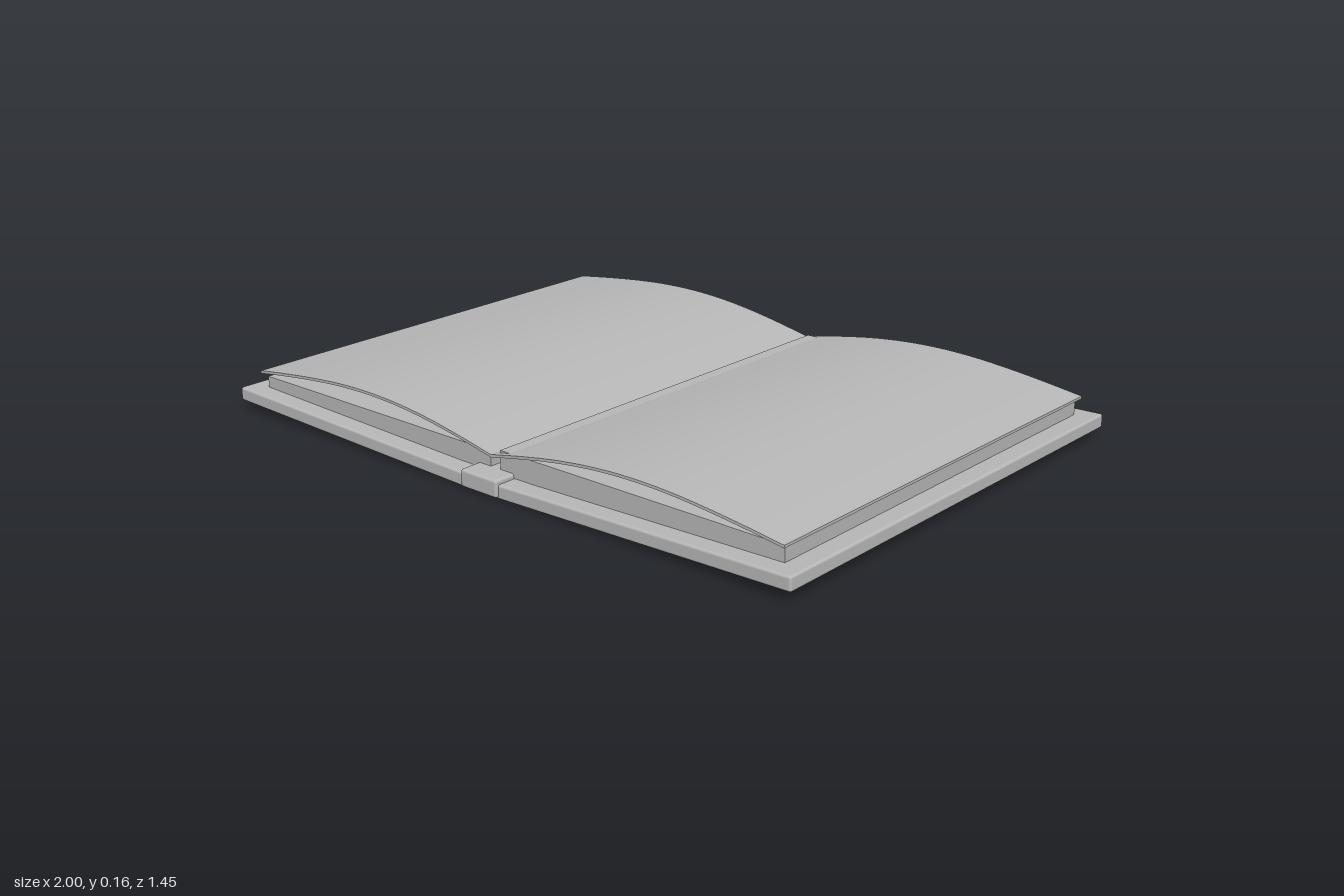
import * as THREE from 'three';
import { toCreasedNormals } from 'three/addons/utils/BufferGeometryUtils.js';
import { RoundedBoxGeometry } from 'three/addons/geometries/RoundedBoxGeometry.js';

const paper = new THREE.MeshStandardMaterial({ color: 0xb8b8b8 });
paper.name = 'plain grey';

function add(parent, name, geometry, x = 0, y = 0) {
  const mesh = new THREE.Mesh(geometry, paper);
  mesh.name = name;
  mesh.position.set(x, y, 0);
  parent.add(mesh);
  return mesh;
}

// Thin arched page: an outline in x and y, extruded along z
function sheetGeometry(side) {
  const curve = new THREE.SplineCurve([
    [0, 0.1], [0.12, 0.124], [0.24, 0.144], [0.36, 0.157], [0.48, 0.162],
    [0.6, 0.159], [0.72, 0.149], [0.84, 0.135], [0.95, 0.12],
  ].map(([x, y]) => new THREE.Vector2(x * side, y)));
  const top = curve.getPoints(32);
  const bottom = top.map((p) => new THREE.Vector2(p.x, p.y - 0.008)).reverse();
  const geometry = new THREE.ExtrudeGeometry(new THREE.Shape([...top, ...bottom]), {
    depth: 1.354, bevelEnabled: false,
  });
  geometry.translate(0, 0, -0.677);
  return toCreasedNormals(geometry, 0.5);
}

export function createModel() {
  const book = new THREE.Group();
  book.name = 'openBook';

  // Spine between the two covers
  add(book, 'spine', new RoundedBoxGeometry(0.132, 0.05, 1.45, 3, 0.008), 0, 0.033);

  for (const side of [-1, 1]) {
    const label = side > 0 ? 'left' : 'right';

    // Cover board, rising slightly towards its outer edge
    const cover = add(book, label + 'Cover',
      new RoundedBoxGeometry(1, 0.04, 1.432, 3, 0.007), side * 0.5, 0.036);
    cover.rotation.z = side * 0.027;

    // Page block; one half is a little thicker
    const top = side > 0 ? 0.111 : 0.101;
    const bottom = 0.046;
    add(book, label + 'PageBlock', new THREE.BoxGeometry(0.922, top - bottom, 1.32),
      side * 0.479, (top + bottom) / 2);

    // Lifted page over the block
    add(book, label + 'Page', sheetGeometry(side));
  }
  return book;
}
